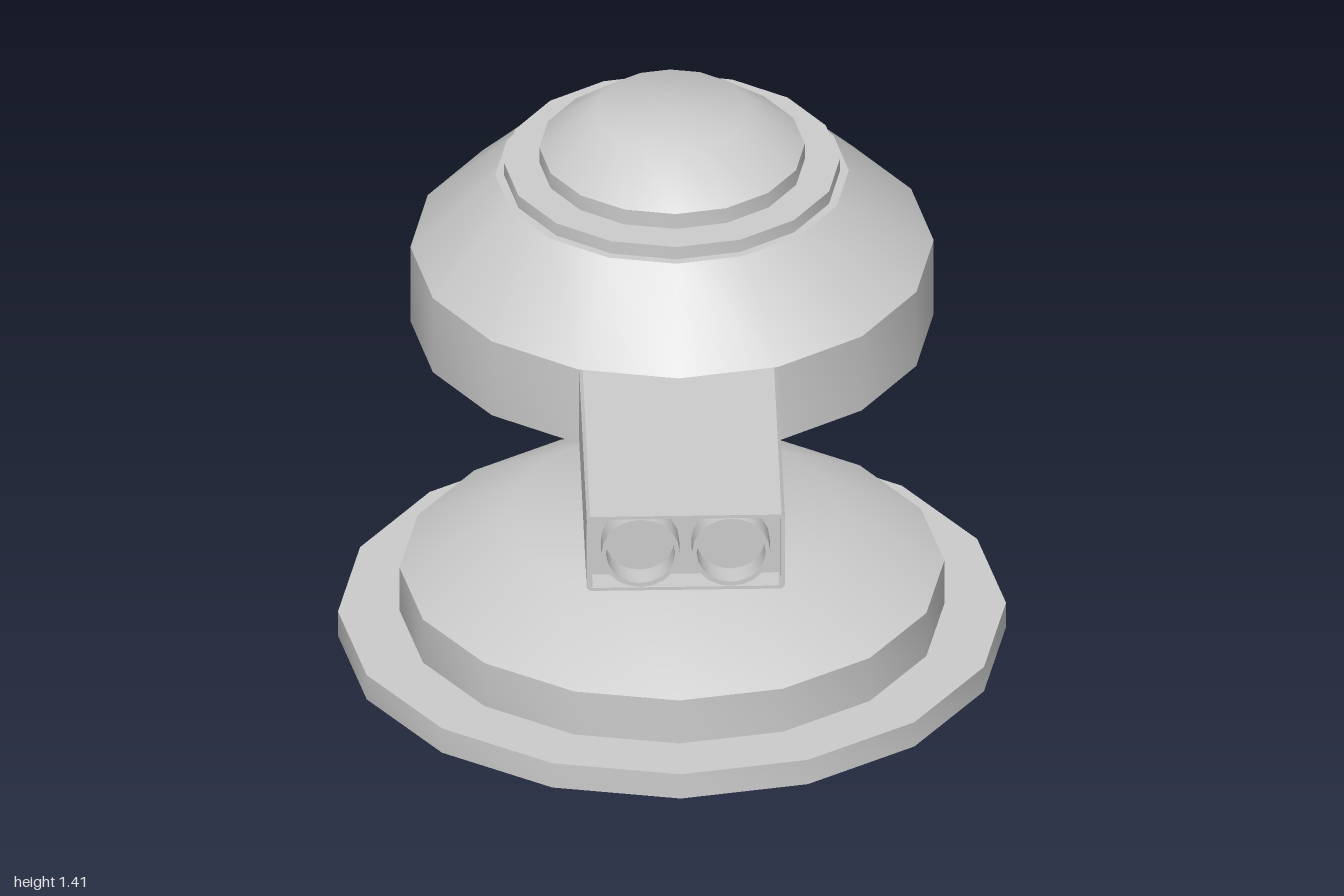
import * as THREE from 'three';
import { toCreasedNormals } from 'three/addons/utils/BufferGeometryUtils.js';

const material = new THREE.MeshStandardMaterial({ color: 0xcccccc });

function add(parent, name, geometry) {
  const mesh = new THREE.Mesh(toCreasedNormals(geometry, 0.7), material);
  mesh.name = name;
  parent.add(mesh);
  return mesh;
}

// Turned part from [radius, height] pairs
function turned(points, sides = 16) {
  return new THREE.LatheGeometry(points.map(([r, y]) => new THREE.Vector2(r, y)), sides);
}

// Rectangle outline with cut corners
function cutRectangle(Type, w, h, c) {
  const p = new Type();
  [[w - c, -h], [w, -h + c], [w, h - c], [w - c, h], [c - w, h], [-w, h - c], [-w, c - h], [c - w, -h]]
    .forEach(([x, y], i) => (i ? p.lineTo(x, y) : p.moveTo(x, y)));
  p.closePath();
  return p;
}

export function createModel() {
  const model = new THREE.Group();
  const pivotY = 0.94, centreZ = -0.225;

  // Ground base
  const base = new THREE.Group();
  base.name = 'base';
  base.position.z = centreZ;
  model.add(base);
  add(base, 'baseFlange', turned([[0, 0], [0.775, 0], [0.775, 0.065], [0, 0.065]]));
  add(base, 'baseDome', turned([[0, 0.06], [0.632, 0.06], [0.632, 0.18], [0.387, 0.317], [0, 0.317]]));

  // Floating turret, tipped slightly toward the front
  const turret = new THREE.Group();
  turret.name = 'turret';
  turret.position.set(0, pivotY, centreZ);
  turret.rotation.x = 0.0175;
  model.add(turret);
  add(turret, 'turretBody', turned([[0, -0.222], [0.387, -0.222], [0.607, -0.1], [0.607, 0.1], [0.41, 0.292], [0, 0.292]]));
  add(turret, 'hatchRing', turned([[0, 0.28], [0.39, 0.28], [0.39, 0.325], [0, 0.325]]));
  add(turret, 'hatchDome', turned([[0, 0.315], [0.308, 0.315], [0.308, 0.365], [0.18, 0.463], [0, 0.463]]));

  // Twin gun housing: a hollow box with a recessed front panel
  const start = 0.42, end = 1.225, recess = 0.06;
  const shell = cutRectangle(THREE.Shape, 0.23, 0.1, 0.008);
  shell.holes.push(cutRectangle(THREE.Path, 0.22, 0.092, 0.004));
  add(turret, 'gunHousing', new THREE.ExtrudeGeometry(shell, { depth: end - start, bevelEnabled: false }))
    .position.z = start;
  add(turret, 'gunPanel', new THREE.PlaneGeometry(0.446, 0.19)).position.z = end - recess;

  // Muzzle tubes, flush with the housing front
  for (const side of [-1, 1]) {
    const tube = add(turret, side > 0 ? 'leftMuzzle' : 'rightMuzzle',
      turned([[0.08, 0], [0.091, 0], [0.091, recess], [0.08, recess], [0.08, 0]], 20));
    tube.rotation.x = Math.PI / 2;
    tube.position.set(side * 0.105, 0, end - recess);
  }
  return model;
}
